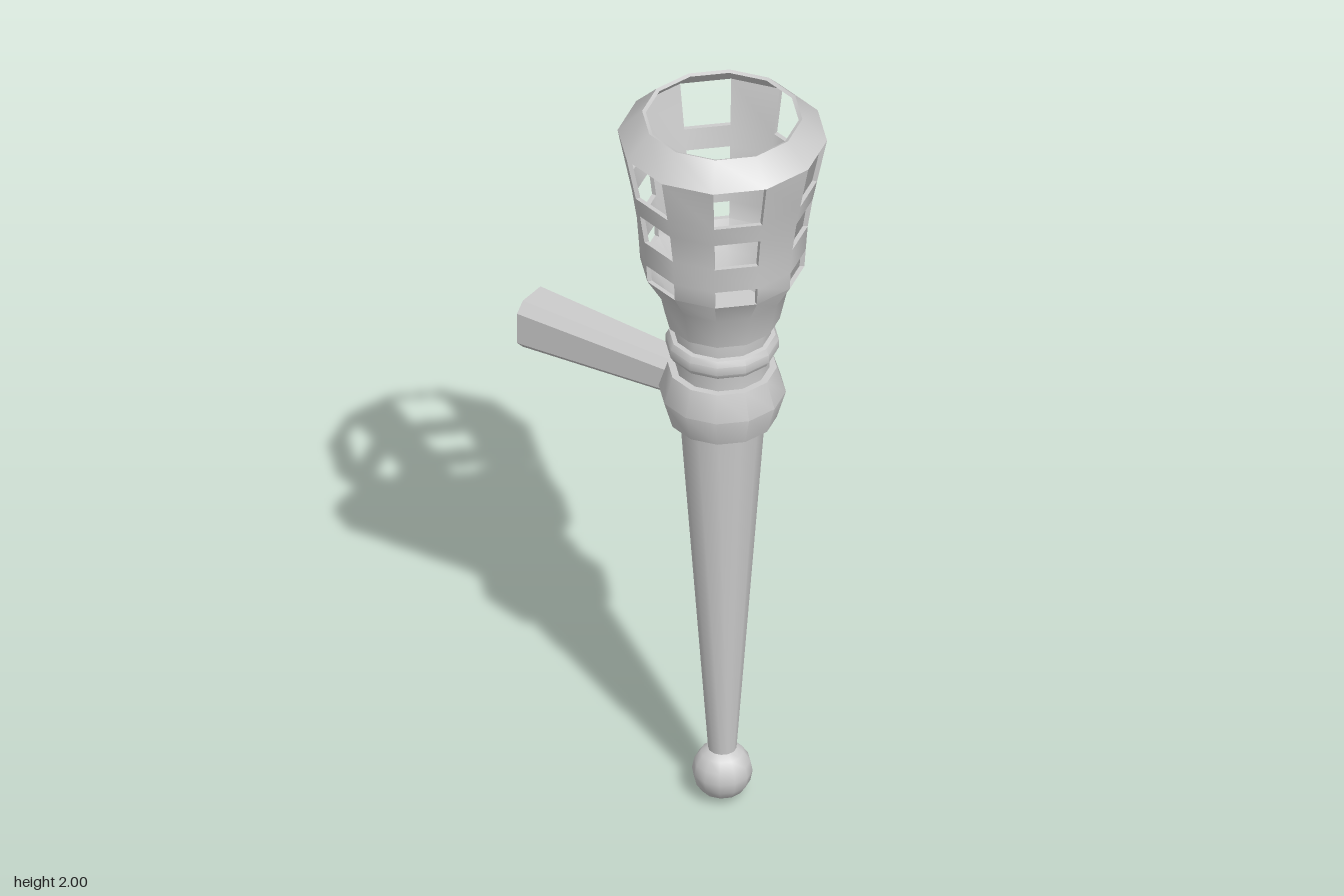
import * as THREE from 'three';
import { mergeGeometries, toCreasedNormals } from 'three/addons/utils/BufferGeometryUtils.js';

const SIDES = 12;
const STEP = (Math.PI * 2) / SIDES;
const AXIS_Z = 0.155; // the shaft stands forward of the bracket

export function createModel() {
  const model = new THREE.Group();
  const material = new THREE.MeshStandardMaterial({ color: 0xcccccc, side: THREE.DoubleSide });

  function add(name, geometry, z = AXIS_Z, crease = 0.65) {
    const mesh = new THREE.Mesh(toCreasedNormals(geometry, crease), material);
    mesh.name = name;
    mesh.position.z = z;
    model.add(mesh);
    return mesh;
  }
  const points = (pairs) => pairs.map(([r, y]) => new THREE.Vector2(r, y));
  const turned = (name, pairs) => add(name, new THREE.LatheGeometry(points(pairs), SIDES));

  // Ball foot and tapered shaft
  const ball = new THREE.SphereGeometry(0.074, 12, 8);
  ball.translate(0, 0.075, 0);
  add('ballFoot', ball, AXIS_Z, 1);
  turned('shaft', [[0.034, 0.13], [0.105, 1.13]]);

  // Collar, neck and bead
  turned('collar', [[0, 1.12], [0.133, 1.12], [0.155, 1.195], [0.133, 1.265], [0, 1.265]]);
  turned('neck', [[0.115, 1.26], [0.115, 1.32], [0.119, 1.34], [0.119, 1.412], [0, 1.412]]);
  turned('neckBead', [[0.112, 1.308], [0.13, 1.312], [0.138, 1.325], [0.138, 1.347], [0.13, 1.362], [0.112, 1.366]]);

  // Basket: every second facet is pierced by three windows
  const outer = [
    [0.14, 1.41], [0.16, 1.5], [0.2, 1.567], [0.203, 1.615], [0.208, 1.685],
    [0.22, 1.765], [0.231, 1.82], [0.255, 1.94], [0.195, 2],
  ];
  const wall = [0.018, 0.014, 0.012, 0.012, 0.012, 0.012, 0.012, 0.012, 0.009];
  const inner = outer.map(([r, y], i) => [r - wall[i], i === 8 ? y - 0.004 : y]);
  const section = (from, to) => [
    ...outer.slice(from, to + 1),
    ...inner.slice(from, to + 1).reverse(),
    outer[from],
  ];
  const windows = [[2, 3], [4, 5], [6, 7]];
  const bands = [[0, 2], [3, 4], [5, 6], [7, 8]];
  const pieces = [];
  for (let i = 0; i < SIDES; i++) {
    const angle = i * STEP;
    const spans = i % 2 === 0 ? bands : [[0, 8]];
    for (const [from, to] of spans) {
      pieces.push(new THREE.LatheGeometry(points(section(from, to)), 1, angle, STEP));
    }
    // Upright reveals at the sides of the windows
    for (const [from, to] of windows) {
      const reveal = new THREE.ShapeGeometry(new THREE.Shape(points(section(from, to).slice(0, -1))));
      reveal.rotateY(angle - Math.PI / 2);
      pieces.push(reveal);
    }
  }
  add('basket', mergeGeometries(pieces));

  const floor = new THREE.CircleGeometry(0.13, SIDES);
  floor.rotateX(-Math.PI / 2);
  floor.translate(0, 1.414, 0);
  add('basketFloor', floor);

  // Hollow bracket: chamfered tube flaring toward its open back end
  const ring = (halfW, halfH, chamfer, y, z) => {
    const a = halfW - chamfer, b = halfH - chamfer;
    return [
      [halfW, -b], [halfW, b], [a, halfH], [-a, halfH],
      [-halfW, b], [-halfW, -b], [-a, -halfH], [a, -halfH],
    ].map(([px, py]) => [px, y + py, z]);
  };
  const near = ring(0.047, 0.049, 0.02, 1.192, 0.03);
  const far = ring(0.062, 0.068, 0.025, 1.182, -0.41);
  const corners = [];
  for (let i = 0; i < 8; i++) {
    const j = (i + 1) % 8;
    corners.push(...near[i], ...far[i], ...far[j], ...near[i], ...far[j], ...near[j]);
  }
  const tube = new THREE.BufferGeometry();
  tube.setAttribute('position', new THREE.Float32BufferAttribute(corners, 3));
  tube.computeVertexNormals();
  add('bracket', tube, 0, 0.2);

  return model;
}
